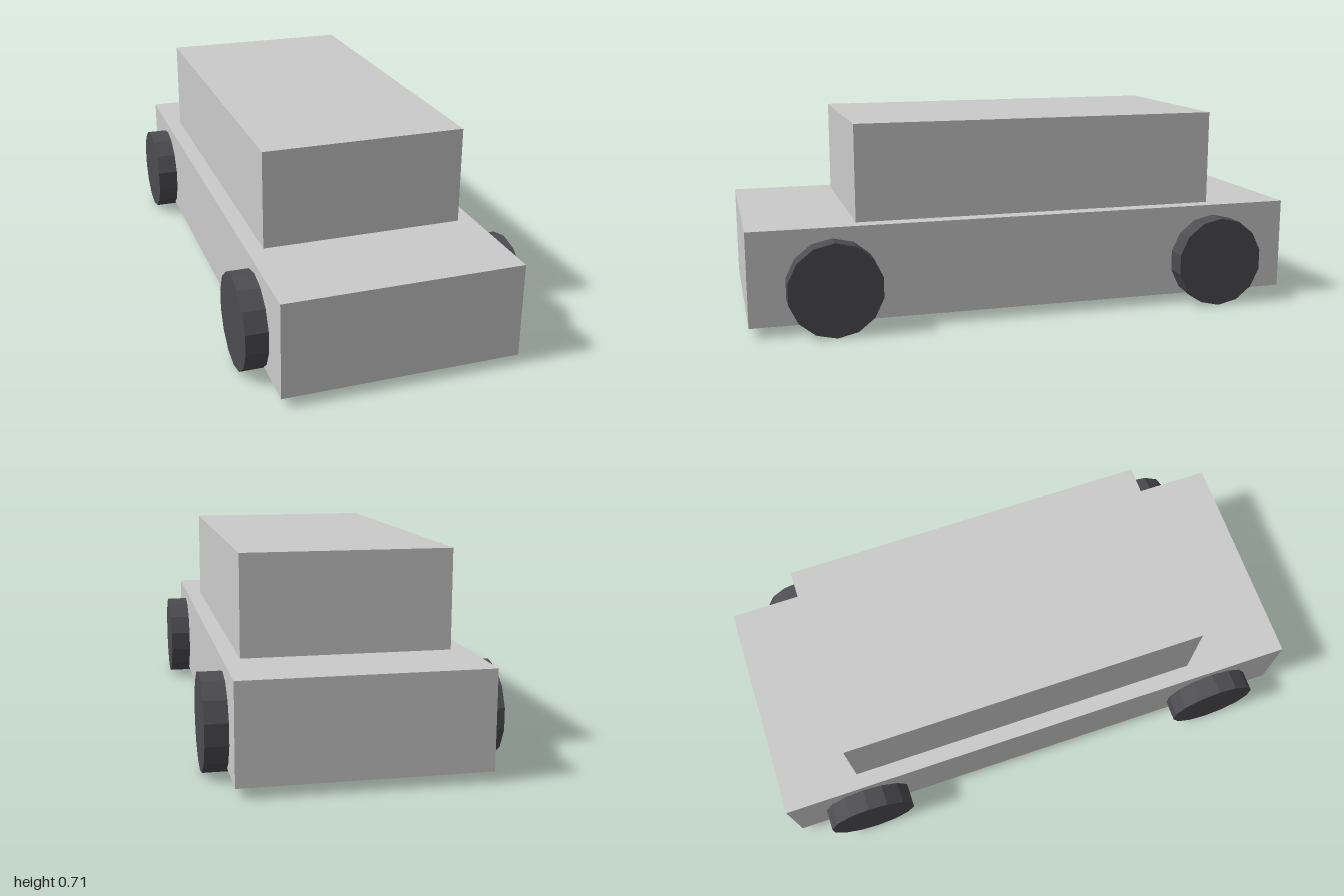
import * as THREE from 'three';

const paint = new THREE.MeshStandardMaterial({ color: 0xcccccc, flatShading: true });
const rubber = new THREE.MeshStandardMaterial({ color: 0x4d4d52, flatShading: true });

// Box given by its half width and its y and z ranges
function block(name, halfWidth, y0, y1, z0, z1) {
  const mesh = new THREE.Mesh(new THREE.BoxGeometry(halfWidth * 2, y1 - y0, z1 - z0), paint);
  mesh.name = name;
  mesh.position.set(0, (y0 + y1) / 2, (z0 + z1) / 2);
  return mesh;
}

export function createModel() {
  const car = new THREE.Group();
  car.name = 'car';

  // Lower body and the narrower cabin on top
  car.add(block('body', 0.412, 0.035, 0.368, -1, 1));
  car.add(block('cabin', 0.355, 0.368, 0.71, -0.713, 0.622));

  // Four 14-sided wheels with a corner pointing straight up, partly sunk into the body
  const radius = 0.165;
  const wheelGeometry = new THREE.CylinderGeometry(radius, radius, 0.105, 14, 1, false, Math.PI / 2);
  wheelGeometry.rotateZ(Math.PI / 2);
  for (const [end, z] of [['front', 0.711], ['rear', -0.711]]) {
    for (const [side, x] of [['Left', 0.437], ['Right', -0.437]]) {
      const wheel = new THREE.Mesh(wheelGeometry, rubber);
      wheel.name = `${end}${side}Wheel`;
      wheel.position.set(x, radius, z);
      car.add(wheel);
    }
  }
  return car;
}
